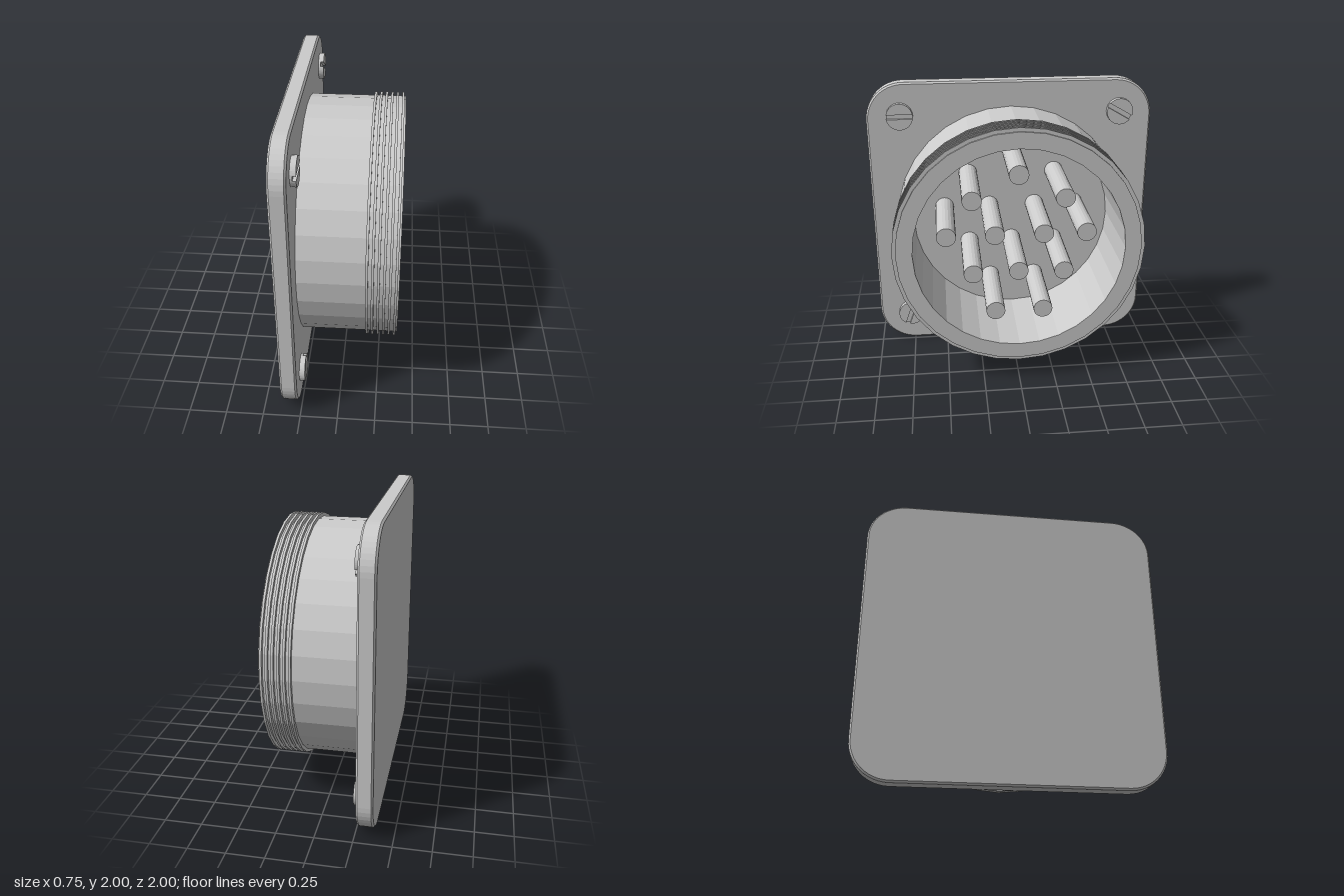
import * as THREE from 'three';

const mat = new THREE.MeshStandardMaterial({ color: 0xcccccc, flatShading: true });
const BACK = -0.375, FACE = -0.265, RIM = 0.375; // positions along the connector axis

function add(parent, name, geometry) {
  const mesh = new THREE.Mesh(geometry, mat);
  mesh.name = name;
  parent.add(mesh);
  return mesh;
}

// Cylinder along z from z0 to z1
function rod(r, z0, z1, sides) {
  return new THREE.CylinderGeometry(r, r, z1 - z0, sides)
    .rotateX(Math.PI / 2).translate(0, 0, (z0 + z1) / 2);
}

// Square flange with rounded corners and a fine edge bevel
function flangeGeometry() {
  const bevel = 0.012, h = 1 - bevel, r = 0.25;
  const s = new THREE.Shape();
  [[1, 1], [-1, 1], [-1, -1], [1, -1]].forEach(([sx, sy], i) => {
    const a = i * Math.PI / 2;
    s.absarc(sx * (h - r), sy * (h - r), r, a, a + Math.PI / 2, false);
  });
  s.closePath();
  return new THREE.ExtrudeGeometry(s, {
    depth: FACE - BACK - 2 * bevel, curveSegments: 6,
    bevelThickness: bevel, bevelSize: bevel, bevelSegments: 1,
  }).translate(0, 0, BACK + bevel);
}

// Hollow barrel with six thin thread ridges near the rim
function barrelGeometry() {
  const outer = 0.82, ridge = 0.845, inner = 0.71, half = 0.008;
  const pts = [[outer, FACE - 0.01]];
  for (let i = 0; i < 6; i++) {
    const z = 0.173 + i * 0.0366;
    pts.push([outer, z - half], [ridge, z - half], [ridge, z + half], [outer, z + half]);
  }
  pts.push([outer, RIM], [inner, RIM], [inner, FACE - 0.01]);
  return new THREE.LatheGeometry(pts.map(p => new THREE.Vector2(...p)), 32)
    .rotateX(Math.PI / 2);
}

// Slotted screw head: a disc carrying two circular segments
function screw(angle) {
  const g = new THREE.Group();
  const r = 0.092, gap = 0.016, floor = FACE + 0.015, top = -0.228;
  add(g, 'screwBase', rod(r, FACE - 0.01, floor, 24));
  const a = Math.asin(gap / r);
  const s = new THREE.Shape();
  s.absarc(0, 0, r, a, Math.PI - a, false);
  s.closePath();
  const seg = new THREE.ExtrudeGeometry(s, { depth: top - floor, bevelEnabled: false, curveSegments: 12 })
    .translate(0, 0, floor);
  for (const turn of [0, Math.PI]) add(g, 'screwHalf', seg).rotation.z = turn;
  g.rotation.z = THREE.MathUtils.degToRad(angle);
  g.name = 'screw';
  return g;
}

export function createModel() {
  const model = new THREE.Group();
  model.name = 'panelConnector';

  // Built along z, then turned so the open end faces +x
  const body = new THREE.Group();
  body.name = 'connectorBody';
  body.rotation.y = Math.PI / 2;
  body.position.y = 1;
  model.add(body);

  add(body, 'flange', flangeGeometry());
  add(body, 'threadedBarrel', barrelGeometry());

  // Contact pins
  const pins = [
    [0, 0.51], [-0.31, 0.34], [0.31, 0.34],
    [-0.485, 0.09], [-0.16, 0.09], [0.17, 0.09], [0.46, 0.09],
    [-0.31, -0.19], [0, -0.18], [0.31, -0.19],
    [-0.16, -0.48], [0.17, -0.48],
  ];
  const pinGeometry = rod(0.066, FACE - 0.01, 0.3, 20);
  for (const [x, y] of pins) add(body, 'contactPin', pinGeometry).position.set(x, y, 0);

  // Corner screws, each stopped at its own angle
  for (const [sx, sy, angle] of [[-1, 1, 0], [1, 1, -30], [-1, -1, 70], [1, -1, 83]]) {
    const s = screw(angle);
    s.position.set(sx * 0.77, sy * 0.77, 0);
    body.add(s);
  }
  return model;
}
